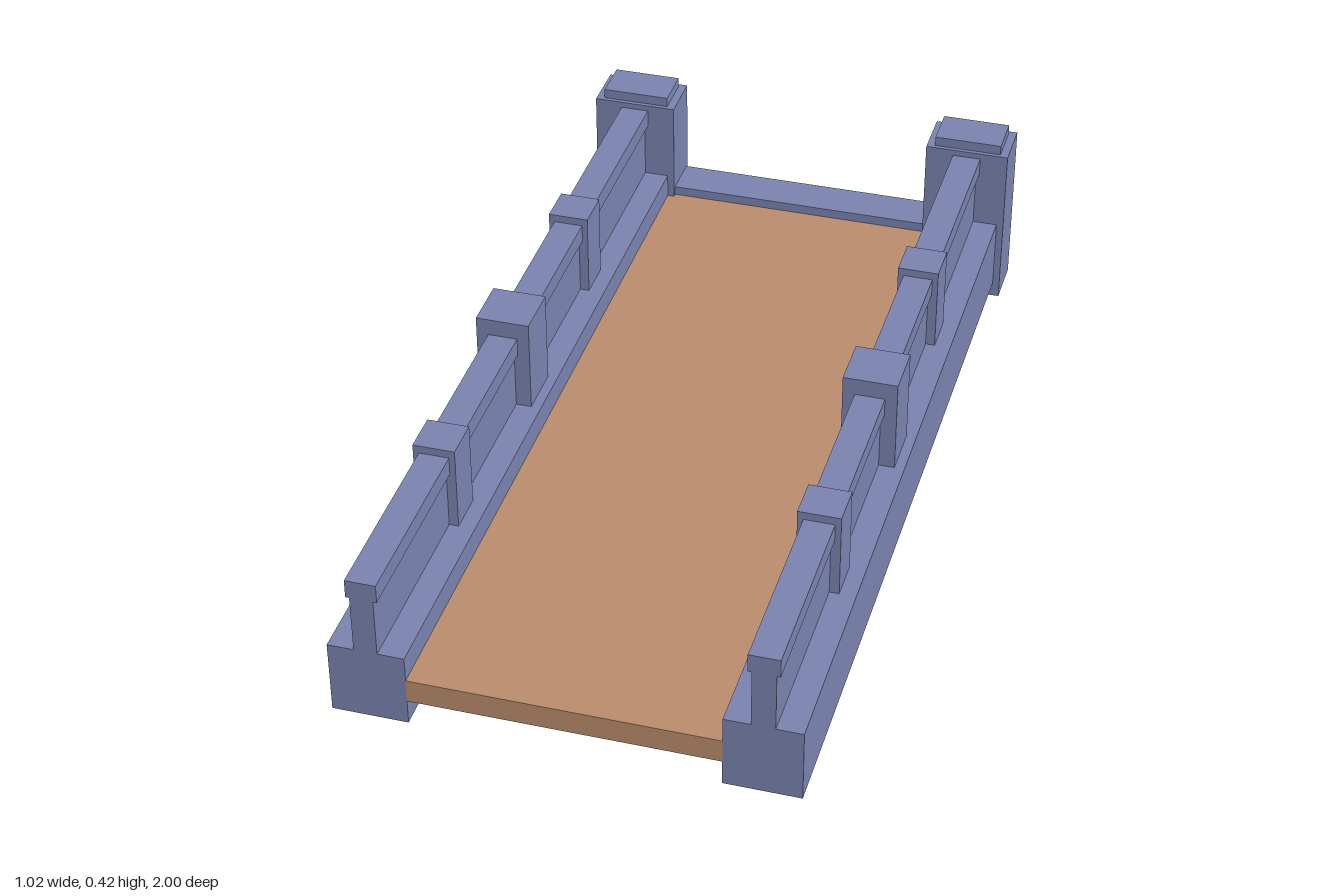
import * as THREE from 'three';

const stone = new THREE.MeshStandardMaterial({ color: 0x7a83b0 });
const earth = new THREE.MeshStandardMaterial({ color: 0xba8c6c });

// Box given by its lower and upper limits on each axis
function box(name, [x0, x1], [y0, y1], [z0, z1], material = stone) {
  const mesh = new THREE.Mesh(new THREE.BoxGeometry(x1 - x0, y1 - y0, z1 - z0), material);
  mesh.position.set((x0 + x1) / 2, (y0 + y1) / 2, (z0 + z1) / 2);
  mesh.name = name;
  return mesh;
}

// One parapet, built around its own centre line
function parapet(name) {
  const side = new THREE.Group();
  side.name = name;
  const run = [-0.885, 1];
  const centred = (half) => [-half, half];
  side.add(
    box('sideBeam', centred(0.082), [0.035, 0.203], run),
    box('railWall', centred(0.025), [0.2, 0.34], run),
    box('railCap', centred(0.033), [0.337, 0.379], run),
    box('endPillar', centred(0.098), [0, 0.393], [-1, -0.88]),
    box('pillarCap', centred(0.079), [0.39, 0.416], [-0.99, -0.89]),
    box('middlePost', centred(0.06), [0.2, 0.418], [0.003, 0.123])
  );
  // Smaller posts either side of the middle one
  for (const z of [-0.394, 0.522]) {
    side.add(box('smallPost', centred(0.046), [0.2, 0.397], [z - 0.046, z + 0.046]));
  }
  return side;
}

export function createModel() {
  const model = new THREE.Group();
  model.name = 'bridgeSection';

  // Deck and the cross beam closing its back end
  model.add(
    box('deck', [-0.328, 0.328], [0.092, 0.146], [-0.89, 1], earth),
    box('crossBeam', [-0.33, 0.33], [0.073, 0.168], [-0.99, -0.89])
  );

  // Parapets on both sides
  for (const [name, sign] of [['leftParapet', 1], ['rightParapet', -1]]) {
    const side = parapet(name);
    side.position.x = sign * 0.41;
    model.add(side);
  }
  return model;
}
